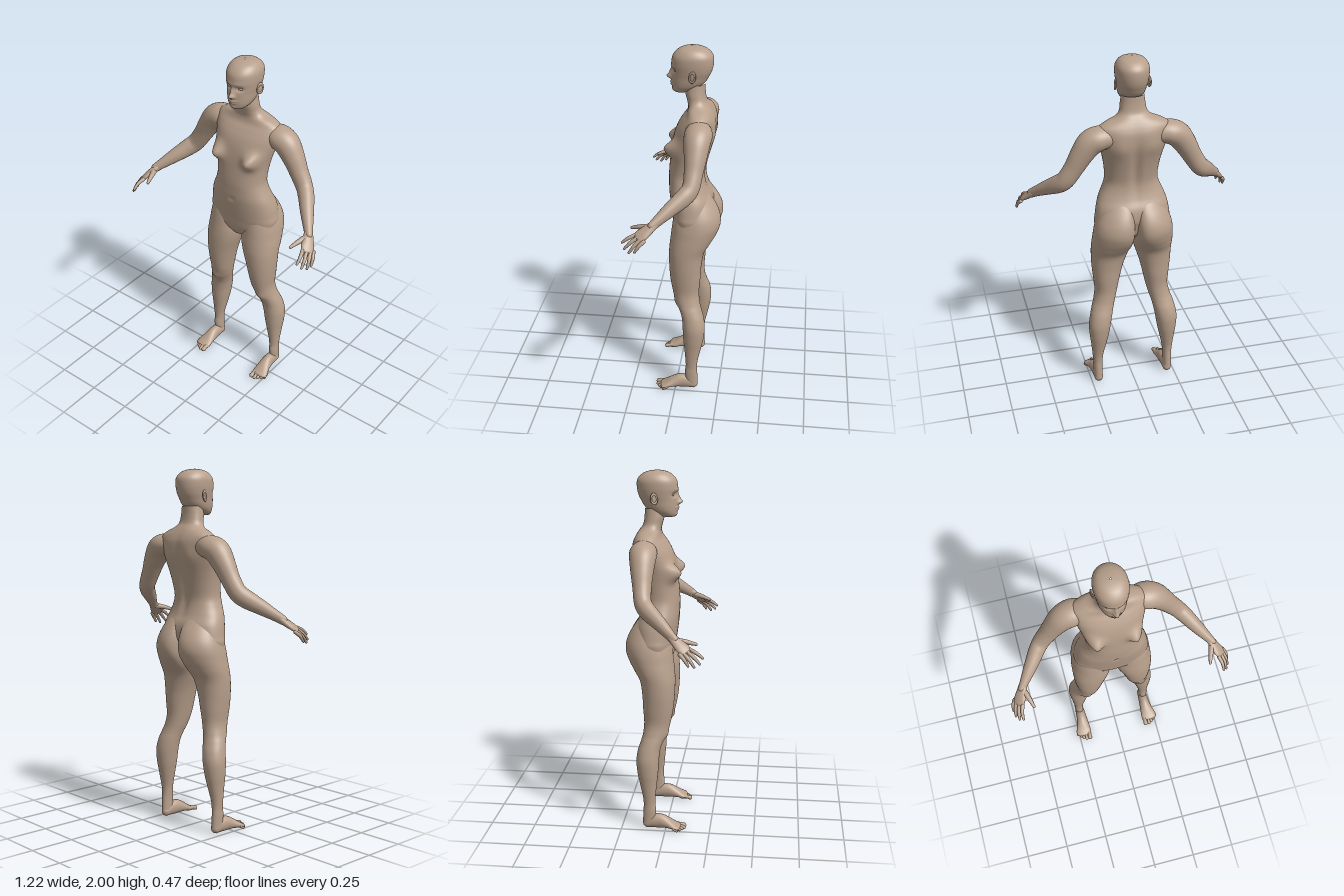
import * as THREE from 'three';

const skinTone = new THREE.MeshStandardMaterial({ color: 0xb8a08c });
skinTone.name = 'skin';

// Smooth interpolation of a list of number rows
function smoothRows(rows, sub) {
  const out = [], last = rows.length - 1;
  for (let k = 0; k <= last * sub; k++) {
    const i = Math.min(Math.floor(k / sub), last - 1), t = k / sub - i;
    const p0 = rows[Math.max(i - 1, 0)], p1 = rows[i], p2 = rows[i + 1], p3 = rows[Math.min(i + 2, last)];
    out.push(p1.map((b, c) => {
      const a = p0[c], d = p2[c], e = p3[c];
      return b + 0.5 * t * (d - a + t * (2 * a - 5 * b + 4 * d - e + t * (3 * (b - d) + e - a)));
    }));
  }
  return out;
}

// Closed skin over a list of rings
function skin(rings) {
  const n = rings[0].length, pos = [], idx = [];
  rings.forEach((r) => r.forEach((p) => pos.push(p.x, p.y, p.z)));
  for (let i = 0; i < rings.length - 1; i++) {
    for (let j = 0; j < n; j++) {
      const a = i * n + j, b = i * n + (j + 1) % n;
      idx.push(a, a + n, b, b, a + n, b + n);
    }
  }
  const g = new THREE.BufferGeometry();
  g.setAttribute('position', new THREE.Float32BufferAttribute(pos, 3));
  g.setIndex(idx);
  g.computeVertexNormals();
  return g;
}

// Level sections, bottom to top: [y, xFrom, xTo, zFront, zBack]
function sections(rows, side, seg, power, warp) {
  return skin(smoothRows(rows, 6).map(([y, x0, x1, zf, zb]) => {
    const ring = [];
    for (let j = 0; j < seg; j++) {
      const a = j / seg * Math.PI * 2, c = Math.cos(a), s = Math.sin(a);
      const round = (v) => Math.sign(v) * Math.abs(v) ** (2 / power);
      const p = new THREE.Vector3(side * (x0 + x1) / 2 + round(c) * (x1 - x0) / 2, y,
        (zf + zb) / 2 + round(s) * (zf - zb) / 2);
      if (warp) warp(p, s, side);
      ring.push(p);
    }
    return ring;
  }));
}

// Round-ended limb along a path: [x, y, z, wideRadius, thinRadius]
function limb(points, side, wide, seg = 20, sub = 5) {
  const rows = smoothRows(points, sub), last = rows.length - 1;
  const at = (i) => new THREE.Vector3(side * rows[i][0], rows[i][1], rows[i][2]);
  const rings = [];
  const add = (i, shift, scale) => {
    const t = at(Math.min(i + 1, last)).sub(at(Math.max(i - 1, 0))).normalize();
    const u = new THREE.Vector3(side * wide[0], wide[1], wide[2]);
    u.addScaledVector(t, -u.dot(t)).normalize();
    const v = u.clone().cross(t), [, , , a, b] = rows[i];
    const c = at(i).addScaledVector(t, shift * Math.min(a, b)), ring = [];
    for (let j = 0; j < seg; j++) {
      const q = j / seg * Math.PI * 2;
      ring.push(c.clone().addScaledVector(u, a * scale * Math.cos(q)).addScaledVector(v, b * scale * Math.sin(q)));
    }
    rings.push(ring);
  };
  const cap = [0.25, 0.5, 0.75, 0.98].map((k) => k * Math.PI / 2);
  [...cap].reverse().forEach((q) => add(0, -Math.sin(q), Math.cos(q)));
  rows.forEach((_, i) => add(i, 0, 1));
  cap.forEach((q) => add(last, Math.sin(q), Math.cos(q)));
  return skin(rings);
}

// Soft swellings and hollows, mirrored in x: [x, y, sizeX, sizeY, dz, face]
const bumps = (list) => (p, s) => {
  const ax = Math.abs(p.x), y = p.y;
  let dz = 0;
  for (const [bx, by, sx, sy, d, face] of list) {
    if (s * face > 0) dz += d * Math.min(1, Math.abs(s) * 2) * Math.exp(-(((ax - bx) / sx) ** 2) - ((y - by) / sy) ** 2);
  }
  p.z += dz;
};

const even = (rows) => rows.map(([y, w, f, b]) => [y, -w, w, f, b]);

const TORSO = even([
  [0.922, 0.003, -0.045, -0.05], [0.93, 0.04, -0.01, -0.08], [0.955, 0.1, 0.01, -0.11], [1, 0.19, 0.028, -0.16],
  [1.06, 0.212, 0.036, -0.18], [1.1, 0.208, 0.042, -0.19], [1.16, 0.198, 0.05, -0.185],
  [1.21, 0.182, 0.055, -0.162], [1.26, 0.16, 0.056, -0.148], [1.31, 0.146, 0.056, -0.146],
  [1.38, 0.15, 0.05, -0.16], [1.45, 0.162, 0.042, -0.178], [1.52, 0.18, 0.028, -0.195],
  [1.57, 0.19, 0.01, -0.2], [1.61, 0.195, -0.015, -0.198], [1.64, 0.19, -0.038, -0.188],
  [1.665, 0.15, -0.046, -0.175], [1.685, 0.1, -0.046, -0.162], [1.71, 0.075, -0.04, -0.145],
  [1.75, 0.067, -0.03, -0.137], [1.8, 0.06, -0.03, -0.135]]);

const HEAD = even([
  [1.75, 0.003, 0, -0.01], [1.753, 0.034, 0.026, -0.04], [1.765, 0.051, 0.035, -0.07], [1.785, 0.065, 0.04, -0.11],
  [1.81, 0.073, 0.042, -0.138], [1.84, 0.078, 0.042, -0.156], [1.87, 0.084, 0.042, -0.17],
  [1.91, 0.089, 0.044, -0.178], [1.95, 0.087, 0.036, -0.175], [1.98, 0.069, 0.008, -0.148],
  [1.994, 0.042, -0.025, -0.112], [2, 0.003, -0.06, -0.07]]);

const LEG = [
  [0.04, 0.186, 0.236, -0.06, -0.13], [0.11, 0.186, 0.238, -0.055, -0.127], [0.15, 0.184, 0.238, -0.06, -0.125],
  [0.2, 0.178, 0.242, -0.058, -0.13], [0.28, 0.16, 0.25, -0.05, -0.148], [0.34, 0.147, 0.257, -0.044, -0.16],
  [0.41, 0.135, 0.26, -0.04, -0.166], [0.47, 0.124, 0.25, -0.034, -0.158], [0.52, 0.112, 0.236, -0.018, -0.142],
  [0.56, 0.1, 0.223, 0, -0.132], [0.62, 0.085, 0.213, 0.02, -0.127], [0.7, 0.068, 0.22, 0.035, -0.133],
  [0.78, 0.048, 0.227, 0.042, -0.138], [0.86, 0.022, 0.23, 0.044, -0.152], [0.92, 0.004, 0.23, 0.04, -0.188],
  [0.97, 0.002, 0.226, 0.034, -0.218], [1.02, 0.002, 0.221, 0.028, -0.235], [1.07, 0.002, 0.21, 0.02, -0.233],
  [1.12, 0.006, 0.19, 0.008, -0.214], [1.17, 0.015, 0.165, -0.01, -0.182], [1.21, 0.04, 0.14, -0.04, -0.15]];

const ARM = [
  [0.13, 1.585, -0.12, 0.055, 0.06], [0.19, 1.582, -0.12, 0.066, 0.074], [0.24, 1.557, -0.118, 0.069, 0.07],
  [0.285, 1.495, -0.115, 0.061, 0.06], [0.325, 1.425, -0.11, 0.053, 0.05], [0.37, 1.355, -0.1, 0.05, 0.045],
  [0.405, 1.32, -0.07, 0.049, 0.043], [0.45, 1.28, -0.015, 0.041, 0.037], [0.5, 1.235, 0.045, 0.03, 0.027],
  [0.53, 1.207, 0.08, 0.025, 0.02]];

const PALM = [
  [0.52, 1.216, 0.068, 0.024, 0.02], [0.54, 1.19, 0.1, 0.031, 0.018],
  [0.555, 1.172, 0.125, 0.036, 0.015], [0.566, 1.157, 0.143, 0.034, 0.012]];

// Finger root, then tip
const FINGERS = [
  [[0.548, 1.166, 0.16], [0.562, 1.125, 0.228]], [[0.565, 1.157, 0.15], [0.582, 1.1, 0.214]],
  [[0.577, 1.15, 0.133], [0.598, 1.087, 0.188]], [[0.585, 1.147, 0.114], [0.604, 1.094, 0.158]]];

const FOOT = [
  [0.21, 0.034, -0.105, 0.025, 0.029], [0.21, 0.046, -0.07, 0.029, 0.04], [0.21, 0.048, -0.03, 0.032, 0.041],
  [0.212, 0.039, 0.01, 0.038, 0.031], [0.216, 0.028, 0.045, 0.045, 0.02], [0.219, 0.02, 0.073, 0.046, 0.013]];

// x, tip z and radius of each toe
const TOES = [[0.187, 0.111, 0.014], [0.209, 0.11, 0.01], [0.226, 0.1, 0.0095], [0.242, 0.087, 0.009], [0.257, 0.072, 0.0085]];

export function createModel() {
  const model = new THREE.Group();
  model.name = 'figure';
  const part = (name, geometry, parent = model) => {
    const m = new THREE.Mesh(geometry, skinTone);
    m.name = name;
    parent.add(m);
    return m;
  };

  // Torso with chest, navel, shoulder blades and spine
  part('torso', sections(TORSO, 1, 80, 2.25, bumps([
    [0.112, 1.462, 0.042, 0.043, 0.056, 1], [0, 1.2, 0.012, 0.014, -0.008, 1],
    [0, 1.4, 0.025, 0.17, 0.018, -1], [0.09, 1.53, 0.04, 0.06, -0.008, -1]])));

  // Head with brow, sockets, nose, lips and chin
  part('head', sections(HEAD, 1, 112, 2.1, bumps([
    [0, 1.832, 0.013, 0.014, 0.024, 1], [0, 1.855, 0.01, 0.022, 0.013, 1], [0.013, 1.828, 0.007, 0.008, 0.008, 1],
    [0.033, 1.873, 0.02, 0.014, -0.014, 1], [0.025, 1.897, 0.025, 0.009, 0.004, 1],
    [0, 1.803, 0.022, 0.006, 0.01, 1], [0, 1.79, 0.019, 0.006, 0.009, 1], [0, 1.764, 0.022, 0.012, 0.006, 1]])));

  for (const side of [1, -1]) {
    const label = side > 0 ? 'left' : 'right';

    const eye = part(label + 'Eye', new THREE.SphereGeometry(0.013, 20, 14));
    eye.scale.set(1.15, 0.7, 1);
    eye.position.set(side * 0.033, 1.872, 0.014);

    // Ear: rim around a shallow bowl
    const ear = new THREE.Group();
    ear.name = label + 'Ear';
    ear.position.set(side * 0.09, 1.855, -0.075);
    ear.rotation.set(-0.15, side * 1.2, 0);
    model.add(ear);
    part('earRim', new THREE.TorusGeometry(0.016, 0.005, 10, 28), ear).scale.y = 1.55;
    part('earBowl', new THREE.SphereGeometry(0.016, 18, 12), ear).scale.set(1, 1.5, 0.25);

    // Leg, with the seat drawn in toward the middle and a kneecap
    const knee = bumps([[0.165, 0.555, 0.03, 0.03, 0.01, 1]]);
    part(label + 'Leg', sections(LEG, side, 56, 2.1, (p, s) => {
      knee(p, s);
      if (s < 0) p.x -= side * 0.03 * s * s * THREE.MathUtils.smoothstep(p.y, 0.86, 1);
    }));

    part(label + 'Foot', limb(FOOT, side, [1, 0, 0], 32));
    TOES.forEach(([x, z, r], i) => part(label + 'Toe' + (i + 1), limb([
      [x, 0.022, 0.05, r, r], [x, 0.02, z - 0.026, r * 0.85, r * 0.85], [x, r + 0.002, z - r * 0.6, r, r * 0.9],
    ], side, [1, 0, 0], 14)));

    part(label + 'Arm', limb(ARM, side, [0, 1, 0], 36, 6));
    part(label + 'Palm', limb(PALM, side, [0.55, -0.22, -0.8], 28));
    FINGERS.forEach(([a, b], i) => {
      const mid = a.map((v, k) => (v + b[k]) / 2 + [0.005, 0.004, 0.002][k]);
      part(label + 'Finger' + (i + 1), limb([
        [...a, 0.0105, 0.0105], [...mid, 0.0095, 0.0095], [...b, 0.0065, 0.0065]], side, [0.55, -0.22, -0.8], 14));
    });
    part(label + 'Thumb', limb([
      [0.527, 1.202, 0.085, 0.017, 0.017], [0.508, 1.192, 0.138, 0.0135, 0.0135], [0.491, 1.177, 0.188, 0.008, 0.008],
    ], side, [0, 1, 0], 16));
  }
  return model;
}
